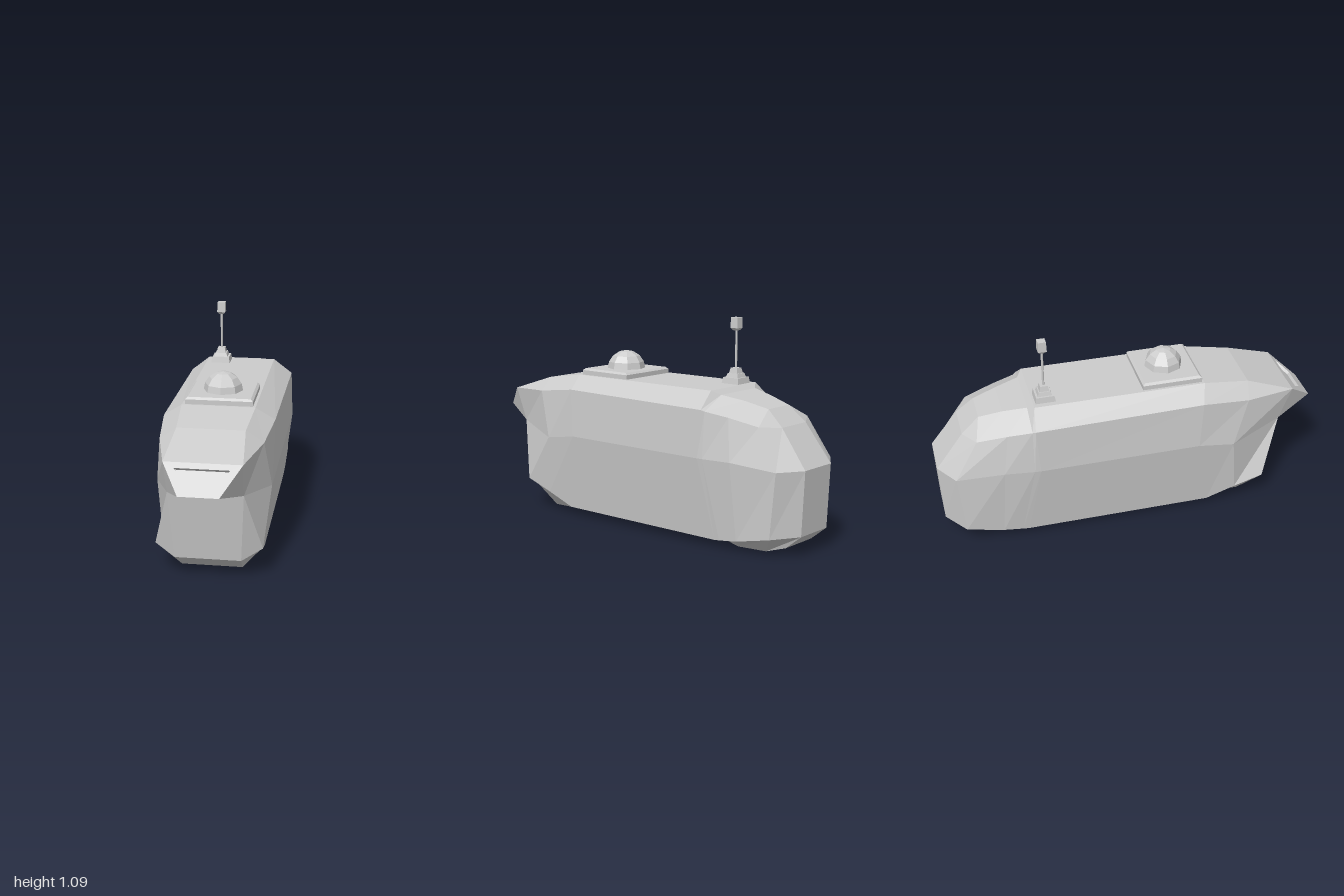
import * as THREE from 'three';

const material = new THREE.MeshStandardMaterial({ color: 0xcccccc, flatShading: true });

function addMesh(parent, name, geometry, x = 0, y = 0, z = 0) {
  const mesh = new THREE.Mesh(geometry, material);
  mesh.name = name;
  mesh.position.set(x, y, z);
  parent.add(mesh);
  return mesh;
}

const mirror = ([x, y, z]) => [-x, y, z];

// Collects flat polygons (as triangle fans) into one geometry
function polygonBuilder() {
  const positions = [];
  const face = (...p) => {
    for (let i = 1; i < p.length - 1; i++) positions.push(...p[0], ...p[i], ...p[i + 1]);
  };
  const build = () => {
    const g = new THREE.BufferGeometry();
    g.setAttribute('position', new THREE.Float32BufferAttribute(positions, 3));
    g.computeVertexNormals();
    return g;
  };
  return { face, build };
}

// Box standing on y = 0 whose top is inset on all sides
function taperedBox(w, h, d, inset) {
  const g = new THREE.BoxGeometry(w, h, d).translate(0, h / 2, 0);
  const p = g.attributes.position;
  for (let i = 0; i < p.count; i++) {
    if (p.getY(i) < h / 2) continue;
    p.setX(i, p.getX(i) - Math.sign(p.getX(i)) * inset);
    p.setZ(i, p.getZ(i) - Math.sign(p.getZ(i)) * inset);
  }
  g.computeVertexNormals();
  return g;
}

function hullGeometry() {
  const { face, build } = polygonBuilder();
  const noseTop = [0.185, 0.635, 0.865], noseTip = [0.095, 0.522, 1.0];

  // Half sections, front to back: keel, chine, waist, shoulder, roof edge
  const halves = [
    [[0.16, 0.1, 0.735], [0.26, 0.155, 0.7], [0.18, 0.46, 0.8], noseTop, noseTop],
    [[0.15, 0.003, 0.6], [0.25, 0.1, 0.55], [0.282, 0.41, 0.52], [0.25, 0.652, 0.6], [0.165, 0.715, 0.62]],
    [[0.15, 0.02, 0.4], [0.237, 0.037, 0.4], [0.29, 0.44, 0.33], [0.277, 0.685, 0.35], [0.182, 0.752, 0.38]],
    [[0.15, 0.02, -0.57], [0.237, 0.037, -0.57], [0.29, 0.44, -0.5], [0.28, 0.675, -0.515], [0.182, 0.755, -0.5]],
    [[0.15, 0.015, -0.59], [0.237, 0.04, -0.6], [0.288, 0.44, -0.53], [0.27, 0.668, -0.53], [0.14, 0.733, -0.53]],
    [[0.15, 0.0, -0.65], [0.237, 0.053, -0.7], [0.27, 0.44, -0.68], [0.242, 0.648, -0.65], [0.11, 0.712, -0.65]],
    [[0.13, 0.0, -0.8], [0.235, 0.095, -0.89], [0.235, 0.42, -0.92], [0.205, 0.615, -0.8], [0.085, 0.682, -0.77]],
    [[0.11, 0.03, -0.9], [0.11, 0.1, -0.985], [0.11, 0.42, -1.0], [0.1, 0.605, -0.86], [0.1, 0.605, -0.86]],
  ];
  const rings = halves.map(h => [...h, ...h.map(mirror).reverse()]);
  for (let i = 0; i < rings.length - 1; i++) {
    for (let j = 0; j < 10; j++) {
      const k = (j + 1) % 10;
      face(rings[i][j], rings[i + 1][j], rings[i + 1][k], rings[i][k]);
    }
  }

  // Front plate and overhanging underside of the nose
  const [keel, chine, waist] = halves[0];
  const front = [keel, waist, noseTip];
  for (let k = 0; k < 2; k++) face(mirror(front[k]), front[k], front[k + 1], mirror(front[k + 1]));
  face(keel, chine, waist);
  face(mirror(keel), mirror(waist), mirror(chine));
  face(waist, noseTop, noseTip);
  face(mirror(waist), mirror(noseTip), mirror(noseTop));

  // Nose face framing a recessed slot
  const onNose = (x, y) => [x, y, 0.865 + (0.635 - y) * 0.135 / 0.113];
  const outer = [mirror(noseTip), noseTip, noseTop, mirror(noseTop)];
  const inner = [onNose(-0.07, 0.563), onNose(0.07, 0.563), onNose(0.13, 0.615), onNose(-0.13, 0.615)];
  const floor = inner.map(([x, y, z]) => [x * 0.97, y - 0.012, z - 0.01]);
  for (let j = 0; j < 4; j++) {
    const k = (j + 1) % 4;
    face(outer[j], outer[k], inner[k], inner[j]);
    face(inner[j], inner[k], floor[k], floor[j]);
  }
  face(...floor);

  // Tail panels
  const tail = halves[halves.length - 1];
  for (let k = 0; k < 3; k++) face(tail[k], mirror(tail[k]), mirror(tail[k + 1]), tail[k + 1]);
  return build();
}

export function createModel() {
  const model = new THREE.Group();
  model.name = 'armouredVehicle';
  addMesh(model, 'hull', hullGeometry());

  // Roof hatch with faceted dome
  const hatch = new THREE.Group();
  hatch.name = 'roofHatch';
  hatch.position.set(0, 0.75, 0.215);
  model.add(hatch);
  addMesh(hatch, 'hatchPlate', new THREE.BoxGeometry(0.336, 0.026, 0.31), 0, 0.013, 0);
  addMesh(hatch, 'hatchPlateBevel', taperedBox(0.336, 0.01, 0.31, 0.012), 0, 0.026, 0);
  const dome = new THREE.SphereGeometry(0.1, 8, 4, 0, Math.PI * 2, 0, Math.PI / 2);
  addMesh(hatch, 'hatchDome', dome, 0, 0.032, -0.005).scale.y = 0.98;

  // Antenna on a stepped foot
  const antenna = new THREE.Group();
  antenna.name = 'antenna';
  antenna.position.set(-0.103, 0.75, -0.437);
  model.add(antenna);
  [[0.104, 0, 0.035], [0.072, 0.035, 0.02], [0.05, 0.055, 0.027]].forEach(([w, y, h], i) =>
    addMesh(antenna, `antennaFoot${i + 1}`, taperedBox(w, h, w, 0.006), 0, y, 0));
  addMesh(antenna, 'antennaPole', new THREE.CylinderGeometry(0.006, 0.006, 0.21, 6), 0, 0.177, 0);
  addMesh(antenna, 'antennaHeadBase', taperedBox(0.024, 0.012, 0.024, -0.01), 0, 0.27, 0);
  addMesh(antenna, 'antennaHead', taperedBox(0.044, 0.053, 0.044, 0.002), 0, 0.282, 0);
  return model;
}
